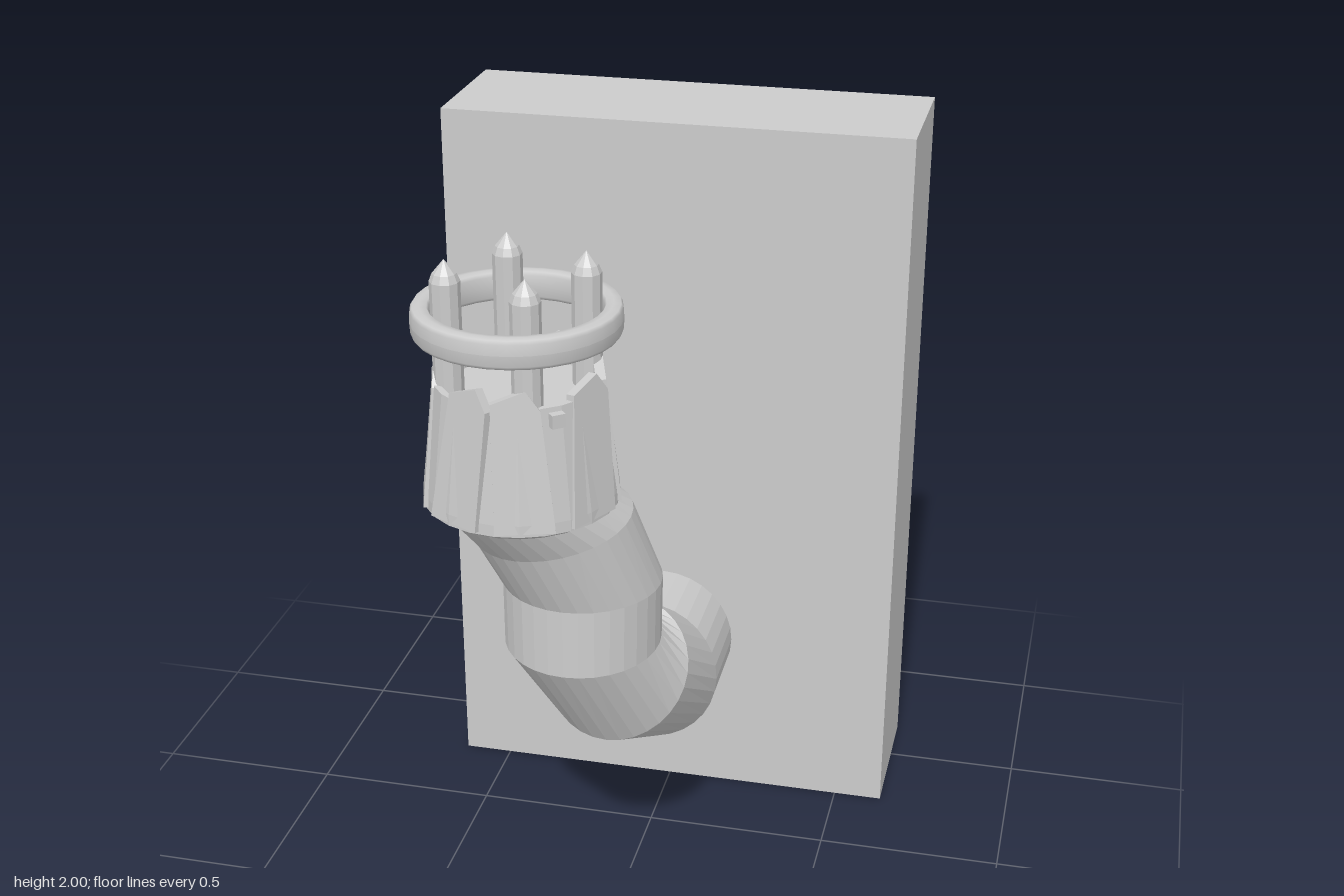
import * as THREE from 'three';

const grey = new THREE.MeshStandardMaterial({ color: 0xcccccc, flatShading: true });
const smooth = new THREE.MeshStandardMaterial({ color: 0xcccccc });
const V = (x, y, z) => new THREE.Vector3(x, y, z);

function part(name, geometry, x = 0, y = 0, z = 0, material = grey) {
  const mesh = new THREE.Mesh(geometry, material);
  mesh.name = name;
  mesh.position.set(x, y, z);
  return mesh;
}

// Straight pipe segments joined at tilted circular sections [centre, normal, radius]
function pipeGeometry(sections, sides) {
  const pos = [], index = [];
  for (const [centre, normal, r] of sections) {
    const n = normal.clone().normalize();
    const u = V(1, 0, 0).addScaledVector(n, -n.x).normalize();
    const v = n.clone().cross(u);
    for (let i = 0; i < sides; i++) {
      const a = (i / sides) * Math.PI * 2;
      const p = centre.clone().addScaledVector(u, r * Math.cos(a)).addScaledVector(v, r * Math.sin(a));
      pos.push(p.x, p.y, p.z);
    }
  }
  for (let s = 0; s < sections.length - 1; s++) {
    for (let i = 0; i < sides; i++) {
      const a = s * sides + i, b = s * sides + (i + 1) % sides;
      index.push(a, b, b + sides, a, b + sides, a + sides);
    }
  }
  const g = new THREE.BufferGeometry();
  g.setAttribute('position', new THREE.Float32BufferAttribute(pos, 3));
  g.setIndex(index);
  g.computeVertexNormals();
  return g;
}

// Thin pointed plate leaning against the cup, with an uneven top edge
function plateGeometry(tilt) {
  const s = new THREE.Shape();
  s.moveTo(-0.075, 0);
  s.lineTo(0.075, 0);
  s.lineTo(0.065 + tilt, 0.31);
  s.lineTo(0.03 + tilt, 0.36);
  s.lineTo(-0.055 + tilt, 0.33);
  s.closePath();
  return new THREE.ExtrudeGeometry(s, { depth: 0.025, bevelEnabled: false });
}

export function createModel() {
  const model = new THREE.Group();
  model.name = 'wallTorch';

  // Wall slab
  model.add(part('wall', new THREE.BoxGeometry(1.27, 2, 0.41), 0, 1, -0.455));

  // Bent pipe arm
  model.add(part('pipeArm', pipeGeometry([
    [V(-0.02, 0.48, -0.27), V(0, 0, 1), 0.2],
    [V(-0.02, 0.485, -0.02), V(-0.03, 0.1, 1), 0.205],
    [V(-0.045, 0.615, 0.2), V(-0.15, 0.66, 0.75), 0.2],
    [V(-0.12, 0.75, 0.275), V(0, 1, 0.07), 0.208],
    [V(-0.12, 0.925, 0.27), V(0, 1, 0), 0.21],
    [V(-0.178, 1.115, 0.335), V(-0.15, 1, 0.1), 0.208],
    [V(-0.235, 1.2, 0.4), V(-0.05, 1, 0.05), 0.205],
  ], 32)));

  // Head: cup, plates, prongs and hoop share one vertical axis
  const head = new THREE.Group();
  head.name = 'head';
  head.position.set(-0.24, 0, 0.4);
  model.add(head);

  const cup = [[0, 1.19], [0.215, 1.19], [0.248, 1.21], [0.247, 1.24], [0.212, 1.53], [0.195, 1.53], [0.19, 1.5], [0, 1.5]];
  head.add(part('cup', new THREE.LatheGeometry(cup.map(p => new THREE.Vector2(...p)), 24)));

  // Leaning plates around the cup
  const plates = 8;
  for (let i = 0; i < plates; i++) {
    const pivot = new THREE.Group();
    pivot.name = 'plate' + (i + 1);
    pivot.rotation.y = ((i + 0.4) / plates) * Math.PI * 2;
    const plate = part('plateBody', plateGeometry(i % 2 ? 0.025 : -0.02), 0, 1.215, 0.222);
    plate.rotation.x = -0.11;
    pivot.add(plate);
    head.add(pivot);
  }

  // Small square stud on the rim
  const stud = part('stud', new THREE.BoxGeometry(0.035, 0.035, 0.035), 0.14, 1.5, 0.165);
  stud.rotation.y = 0.7;
  head.add(stud);

  // Four pointed prongs
  const prong = [[0, 1.48], [0.038, 1.48], [0.038, 1.79], [0.03, 1.81], [0, 1.845]];
  for (let i = 0; i < 4; i++) {
    const a = 1.16 + i * Math.PI / 2;
    head.add(part('prong' + (i + 1), new THREE.LatheGeometry(prong.map(p => new THREE.Vector2(...p)), 10),
      0.172 * Math.cos(a), 0, 0.172 * Math.sin(a)));
  }

  // Hoop around the prongs
  const hoop = [];
  for (let i = 0; i <= 12; i++) {
    const a = (i / 12) * Math.PI * 2, c = Math.cos(a), s = Math.sin(a);
    hoop.push(new THREE.Vector2(0.236 + 0.025 * Math.sign(c) * Math.sqrt(Math.abs(c)), 0.039 * Math.sign(s) * Math.sqrt(Math.abs(s))));
  }
  head.add(part('hoop', new THREE.LatheGeometry(hoop, 32), 0, 1.687, 0, smooth));

  return model;
}
